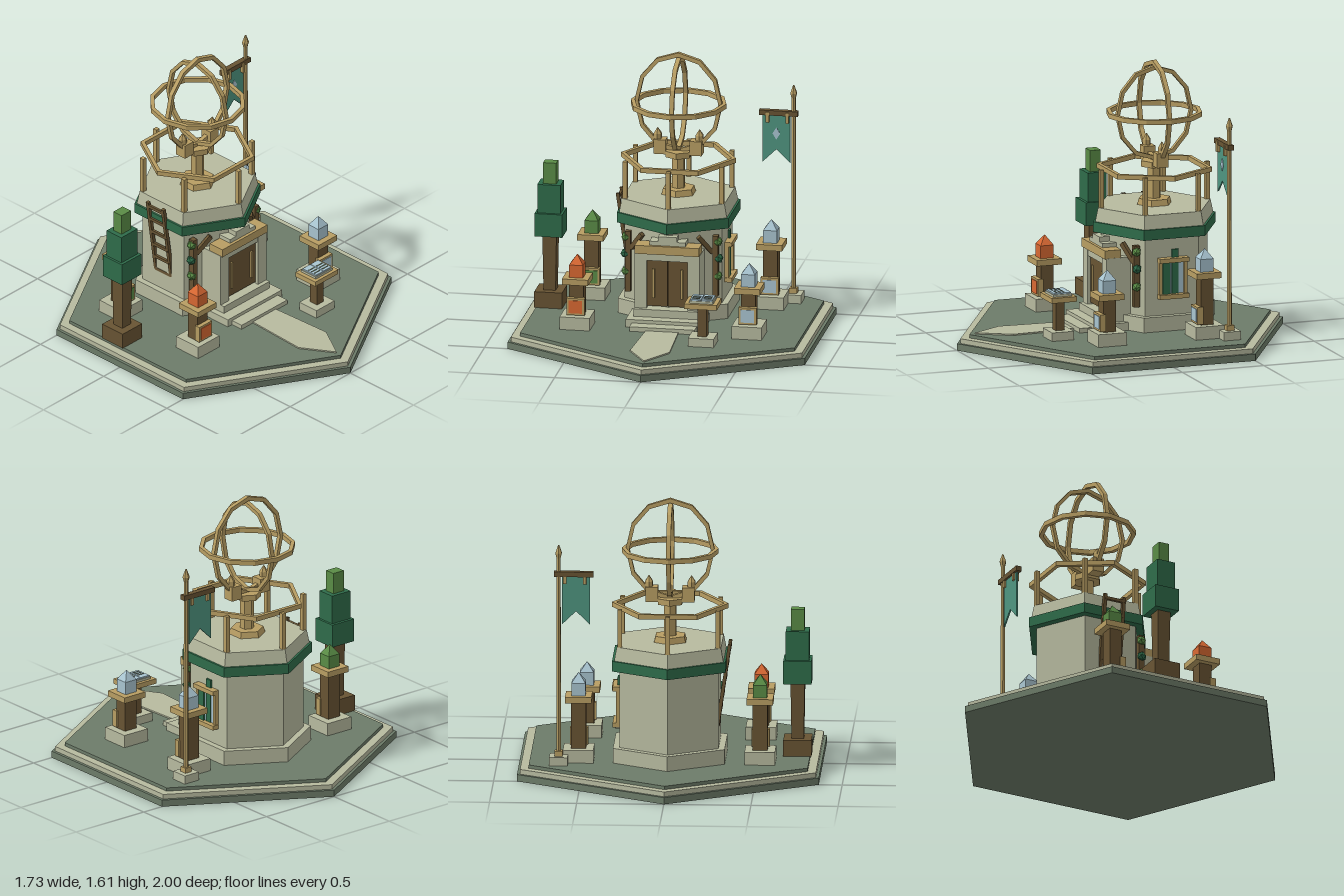
import * as THREE from 'three';

const mat = (name, color) => {
  const m = new THREE.MeshStandardMaterial({ color });
  m.name = name;
  return m;
};

export function createModel() {
  const stone = mat('pale stone', 0xb7ba9f), slate = mat('slate green', 0x6d7c69);
  const brass = mat('brass', 0xb89e63), wood = mat('dark wood', 0x685433);
  const green = mat('dark green', 0x2f6c4a), leaf = mat('leaf green', 0x5a8c46);
  const teal = mat('banner teal', 0x4f9580), ice = mat('pale blue', 0xa9c5d1);
  const orange = mat('orange', 0xd86832);

  const model = new THREE.Group();
  model.name = 'observatory';
  const group = (name, x = 0, y = 0, z = 0) => {
    const g = new THREE.Group();
    g.name = name;
    g.position.set(x, y, z);
    model.add(g);
    return g;
  };
  // Faceted mesh
  const add = (parent, name, geo, material, x = 0, y = 0, z = 0) => {
    const g = geo.index ? geo.toNonIndexed() : geo;
    g.computeVertexNormals();
    const m = new THREE.Mesh(g, material);
    m.name = name;
    m.position.set(x, y, z);
    parent.add(m);
    return m;
  };
  // Box by x centre, bottom, z centre, and size
  const box = (p, name, material, x, y, z, w, h, d) =>
    add(p, name, new THREE.BoxGeometry(w, h, d), material, x, y + h / 2, z);
  // Prism or frustum from y0 to y1
  const prism = (p, name, material, r0, r1, y0, y1, sides = 6, x = 0, z = 0) =>
    add(p, name, new THREE.CylinderGeometry(r1, r0, y1 - y0, sides), material, x, (y0 + y1) / 2, z);
  // Polygonal hoop with rectangular section, lying flat
  const hoop = (r, w, h, sides) => new THREE.LatheGeometry(
    [[-w, -h], [w, -h], [w, h], [-w, h], [-w, -h]].map(([a, b]) => new THREE.Vector2(r + a / 2, b / 2)), sides);
  // Square beam between two points
  const beam = (p, name, material, a, b, t) => {
    const A = new THREE.Vector3(...a), B = new THREE.Vector3(...b);
    const m = add(p, name, new THREE.BoxGeometry(t, t, A.distanceTo(B)), material);
    m.position.copy(A).add(B).multiplyScalar(0.5);
    m.lookAt(B);
    return m;
  };
  const plate = (p, name, material, pts, depth, x, y, z) => add(p, name, new THREE.ExtrudeGeometry(
    new THREE.Shape(pts.map(([a, b]) => new THREE.Vector2(a, b))), { depth, bevelEnabled: false }), material, x, y, z);

  // Stepped hexagonal base
  const base = group('base');
  prism(base, 'lowerSlab', slate, 1, 1, 0, 0.04);
  prism(base, 'stoneRim', stone, 0.98, 0.98, 0.04, 0.068);
  prism(base, 'courtyard', slate, 0.924, 0.924, 0.068, 0.088);

  // Pointed path
  const path = plate(base, 'path', stone,
    [[-0.095, -0.31], [-0.115, -0.7], [0, -0.89], [0.115, -0.7], [0.095, -0.31]], 0.008, 0, 0.088, 0);
  path.rotation.x = -Math.PI / 2;

  // Tower
  const tower = group('tower', 0, 0, -0.21);
  prism(tower, 'plinth', stone, 0.37, 0.37, 0.088, 0.175);
  prism(tower, 'wall', stone, 0.328, 0.328, 0.175, 0.64);
  prism(tower, 'greenTrim', green, 0.376, 0.376, 0.63, 0.69);
  prism(tower, 'roof', stone, 0.362, 0.345, 0.69, 0.77);

  // Roof railing
  for (let i = 0; i < 6; i++) {
    const a = i * Math.PI / 3;
    box(tower, 'railPost', brass, Math.sin(a) * 0.325, 0.74, Math.cos(a) * 0.325, 0.026, 0.25, 0.026);
  }
  add(tower, 'rail', hoop(0.322, 0.026, 0.028, 6).rotateY(Math.PI / 6), brass, 0, 0.98, 0);

  // Armillary stand
  const sphere = group('armillary', 0, 0, -0.21);
  prism(sphere, 'foot', brass, 0.105, 0.095, 0.77, 0.805);
  prism(sphere, 'column', brass, 0.04, 0.04, 0.8, 1.0);
  prism(sphere, 'cap', brass, 0.08, 0.08, 0.99, 1.025);
  for (const s of [-1, 1]) {
    box(sphere, 'cradleArm', brass, s * 0.105, 1.005, 0, 0.07, 0.085, 0.07);
    prism(sphere, 'cradleFinial', brass, 0.025, 0.025, 1.09, 1.12, 6, s * 0.122);
    prism(sphere, 'cradlePoint', brass, 0.025, 0.002, 1.12, 1.155, 6, s * 0.122);
  }
  // Armillary hoops
  add(sphere, 'equatorHoop', hoop(0.266, 0.024, 0.028, 12), brass, 0, 1.302, 0);
  add(sphere, 'wideHoop', hoop(0.288, 0.026, 0.026, 12).scale(0.85, 1, 1).rotateX(Math.PI / 2), brass, 0, 1.31, 0);
  add(sphere, 'deepHoop', hoop(0.265, 0.024, 0.026, 12).scale(1, 1, 0.85).rotateZ(Math.PI / 2), brass, 0, 1.302, 0);

  // Entrance
  const door = group('entrance');
  box(door, 'frontStep', stone, 0, 0.088, 0.24, 0.38, 0.027, 0.16);
  box(door, 'wideStep', stone, 0, 0.088, 0.14, 0.45, 0.047, 0.21);
  box(door, 'threshold', stone, 0, 0.135, 0.1, 0.38, 0.045, 0.16);
  for (const s of [-1, 1]) {
    box(door, 'jamb', stone, s * 0.155, 0.175, 0.065, 0.07, 0.335, 0.18);
    box(door, 'doorLeaf', wood, s * 0.0605, 0.19, 0.115, 0.118, 0.28, 0.04);
    box(door, 'doorHandle', brass, s * 0.082, 0.24, 0.139, 0.013, 0.175, 0.012);
  }
  box(door, 'doorHead', stone, 0, 0.465, 0.065, 0.25, 0.045, 0.17);
  box(door, 'lintel', brass, 0, 0.507, 0.115, 0.375, 0.05, 0.1);
  box(door, 'crownLower', stone, 0, 0.557, 0.105, 0.21, 0.024, 0.085);
  box(door, 'crownUpper', stone, 0, 0.58, 0.105, 0.11, 0.03, 0.085);

  // Vine trellises either side of the entrance
  for (const s of [-1, 1]) {
    const vine = group(s > 0 ? 'leftVine' : 'rightVine');
    box(vine, 'vinePost', wood, s * 0.255, 0.23, 0, 0.032, 0.36, 0.036);
    beam(vine, 'vineBrace', wood, [s * 0.235, 0.49, 0.005], [s * 0.165, 0.59, 0.05], 0.026);
    [[0.555, leaf], [0.455, green], [0.35, leaf]].forEach(([y, m], i) =>
      add(vine, 'vineLeaf', new THREE.IcosahedronGeometry(0.029, 0), m, s * (0.268 + (i % 2) * 0.004), y, 0));
  }

  // Side window with hangings
  const win = group('window', 0.284, 0, -0.21);
  box(win, 'pane', ice, 0.004, 0.3, 0, 0.012, 0.19, 0.14);
  for (const y of [0.275, 0.487]) box(win, 'windowBar', brass, 0.018, y, 0, 0.05, 0.026, 0.18);
  for (const z of [-0.077, 0.077]) box(win, 'windowSide', brass, 0.01, 0.29, z, 0.028, 0.21, 0.02);
  box(win, 'hangingFront', green, 0.018, 0.295, 0.04, 0.012, 0.19, 0.046);
  box(win, 'hangingRear', green, 0.01, 0.3, -0.015, 0.012, 0.26, 0.04);

  // Leaning ladder
  const ladder = group('ladder');
  const ladderX = y => -0.262 - (y - 0.2) * 0.145;
  for (const z of [-0.273, -0.153])
    beam(ladder, 'ladderRail', wood, [ladderX(0.2), 0.2, z], [ladderX(0.765), 0.765, z], 0.02);
  for (let y = 0.28; y < 0.74; y += 0.09)
    box(ladder, 'rung', wood, ladderX(y) - 0.004, y, -0.213, 0.016, 0.018, 0.12);

  // Crystal lanterns, the rear pair taller
  for (const [x, z, h, m] of [[-0.522, -0.32, 0.085, leaf], [0.52, -0.32, 0.085, ice],
    [-0.502, 0.27, 0, orange], [0.5, 0.27, 0, ice]]) {
    const l = group('lantern', x, 0, z);
    box(l, 'lanternBase', stone, 0, 0.088, 0, 0.175, 0.075, 0.175);
    box(l, 'lanternPost', wood, 0, 0.163, 0, 0.085, 0.19 + h, 0.075);
    box(l, 'panelFrame', brass, 0, 0.17, 0.045, 0.105, 0.1, 0.035);
    box(l, 'panel', m, 0, 0.182, 0.063, 0.08, 0.076, 0.008);
    box(l, 'lanternTray', brass, 0, 0.353 + h, 0, 0.152, 0.035, 0.152);
    box(l, 'crystal', m, 0, 0.388 + h, 0, 0.08, 0.075, 0.08);
    add(l, 'crystalTip', new THREE.ConeGeometry(0.0566, 0.057, 4).rotateY(Math.PI / 4), m, 0, 0.4915 + h, 0);
  }

  // Reading stand with open book
  const stand = group('readingStand', 0.268, 0, 0.48);
  box(stand, 'standBase', stone, 0, 0.088, 0, 0.15, 0.05, 0.135);
  box(stand, 'standPost', wood, 0, 0.138, 0, 0.054, 0.18, 0.054);
  box(stand, 'standTop', brass, 0, 0.315, 0, 0.19, 0.03, 0.155);
  box(stand, 'bookCover', stone, 0, 0.345, 0, 0.14, 0.014, 0.115);
  for (const s of [-1, 1]) {
    box(stand, 'page', ice, s * 0.033, 0.359, 0, 0.062, 0.008, 0.105);
    for (let i = 0; i < 3; i++)
      box(stand, 'pageLine', slate, s * 0.033, 0.367, -0.012 + i * 0.022, 0.046, 0.003, 0.007);
  }

  // Potted tree with stacked foliage
  const tree = group('tree', -0.728, 0, -0.113);
  box(tree, 'pot', wood, 0, 0.088, 0, 0.162, 0.095, 0.162);
  add(tree, 'trunk', new THREE.CylinderGeometry(0.058, 0.05, 0.34, 4).rotateY(Math.PI / 4), wood, 0, 0.35, 0);
  box(tree, 'foliageLow', green, 0, 0.513, 0, 0.162, 0.137, 0.15);
  box(tree, 'foliageMid', green, 0, 0.65, 0, 0.135, 0.17, 0.115);
  box(tree, 'foliageTop', leaf, 0, 0.82, 0, 0.077, 0.125, 0.065);

  // Banner on its pole
  const flag = group('bannerPole', 0.63, 0, -0.43);
  box(flag, 'poleBase', stone, 0, 0.088, 0, 0.105, 0.05, 0.105);
  prism(flag, 'pole', brass, 0.015, 0.013, 0.138, 1.31, 6);
  box(flag, 'poleCollar', brass, 0, 0.138, 0, 0.045, 0.03, 0.045);
  prism(flag, 'finialLow', brass, 0.012, 0.021, 1.3, 1.335, 6);
  prism(flag, 'finialTip', brass, 0.021, 0.004, 1.335, 1.382, 6);
  box(flag, 'crossbar', wood, -0.087, 1.197, 0, 0.226, 0.03, 0.034);
  plate(flag, 'banner', teal, [[-0.18, 1.2], [-0.18, 0.915], [-0.1, 0.993], [-0.02, 0.915], [-0.02, 1.2]],
    0.009, 0, 0, -0.0045);
  for (const x of [-0.15, -0.036]) box(flag, 'bannerClip', brass, x, 1.155, 0.004, 0.018, 0.062, 0.038);
  plate(flag, 'bannerDiamond', ice, [[-0.022, 0], [0, -0.037], [0.022, 0], [0, 0.037]], 0.006, -0.1, 1.088, 0.002);

  return model;
}
